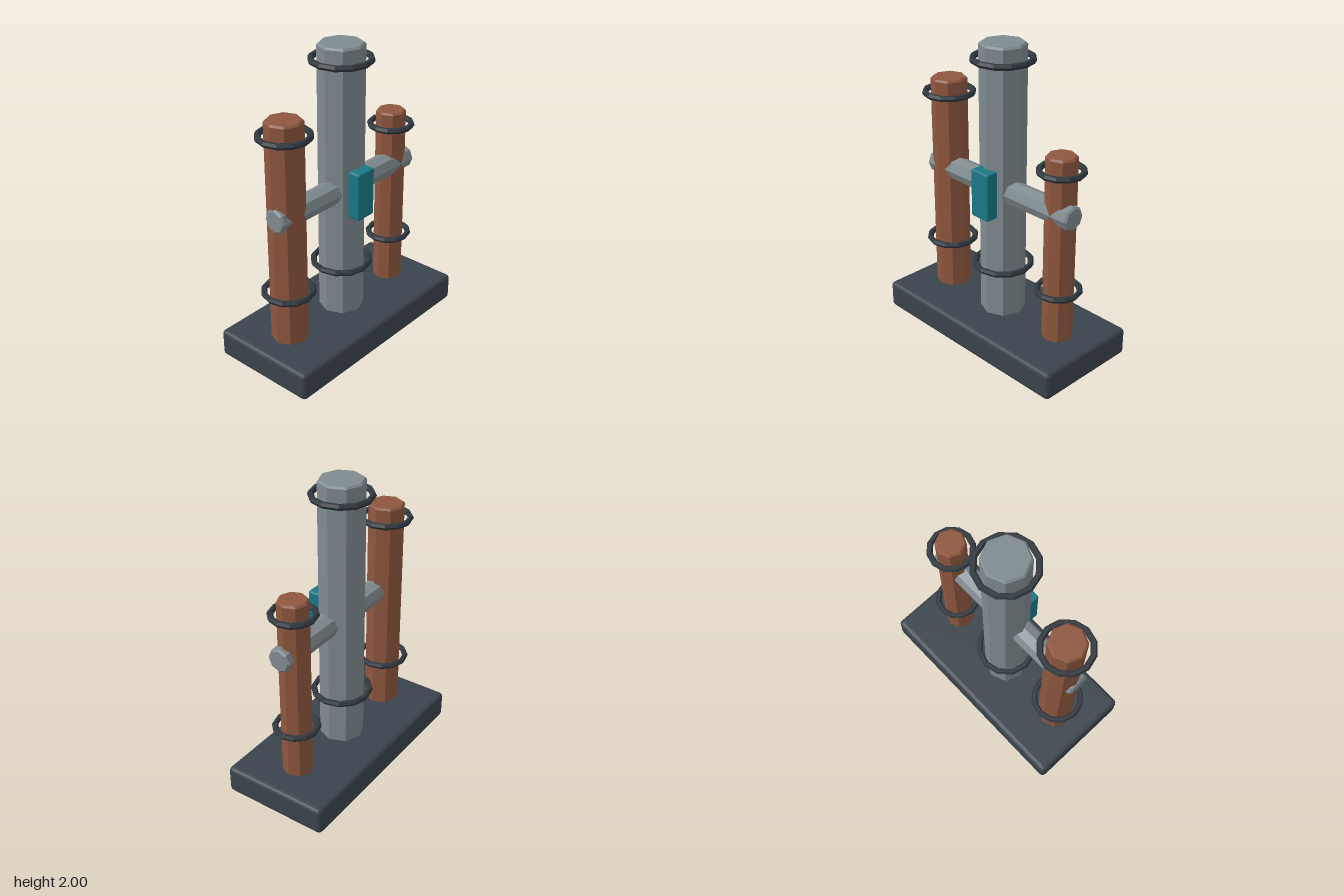
import * as THREE from 'three';
import { RoundedBoxGeometry } from 'three/addons/geometries/RoundedBoxGeometry.js';

const paint = (color) => new THREE.MeshStandardMaterial({ color, flatShading: true });

// Eight-sided rod along y from y0 to y1 with chamfered ends
function rod(radius, y0, y1, bevel = 0.012) {
  const profile = [
    [0, y0], [radius - bevel, y0], [radius, y0 + bevel],
    [radius, y1 - bevel], [radius - bevel, y1], [0, y1],
  ].map(([x, y]) => new THREE.Vector2(x, y));
  return new THREE.LatheGeometry(profile, 8);
}

export function createModel() {
  const model = new THREE.Group();
  const dark = paint(0x3a444c);
  const ringDark = paint(0x30383f);
  const steel = paint(0x7f8b90);
  const copper = paint(0x8e573e);
  const teal = paint(0x1a7885);

  const add = (name, geometry, material, x = 0, y = 0, z = 0, parent = model) => {
    const mesh = new THREE.Mesh(geometry, material);
    mesh.name = name;
    mesh.position.set(x, y, z);
    parent.add(mesh);
    return mesh;
  };

  // Bevelled base slab
  add('base', new RoundedBoxGeometry(1.51, 0.19, 0.73, 2, 0.03), dark, 0, 0.095, 0);

  // Three columns, each with a lower and an upper loose ring
  const columns = [
    ['centerColumn', 0, 0.147, 2.0, steel],
    ['rightColumn', -0.495, 0.118, 1.67, copper],
    ['leftColumn', 0.49, 0.098, 1.43, copper],
  ];
  for (const [name, x, radius, top, material] of columns) {
    const column = new THREE.Group();
    column.name = name;
    column.position.x = x;
    model.add(column);
    add('shaft', rod(radius, 0.1, top), material, 0, 0, 0, column);
    const ring = new THREE.TorusGeometry(radius + 0.038, 0.02, 6, 12).rotateX(Math.PI / 2);
    add('lowerRing', ring, ringDark, 0, 0.525, 0, column);
    add('upperRing', ring, ringDark, 0, top - 0.1, 0, column);
  }

  // Crossbar passing through all columns
  add('crossbar', rod(0.079, -0.62, 0.62).rotateZ(Math.PI / 2), steel, 0, 1.065, 0.02);

  // Front panel on the centre column
  add('frontPanel', new RoundedBoxGeometry(0.15, 0.32, 0.09, 2, 0.014), teal, 0, 1.065, 0.162);

  return model;
}
